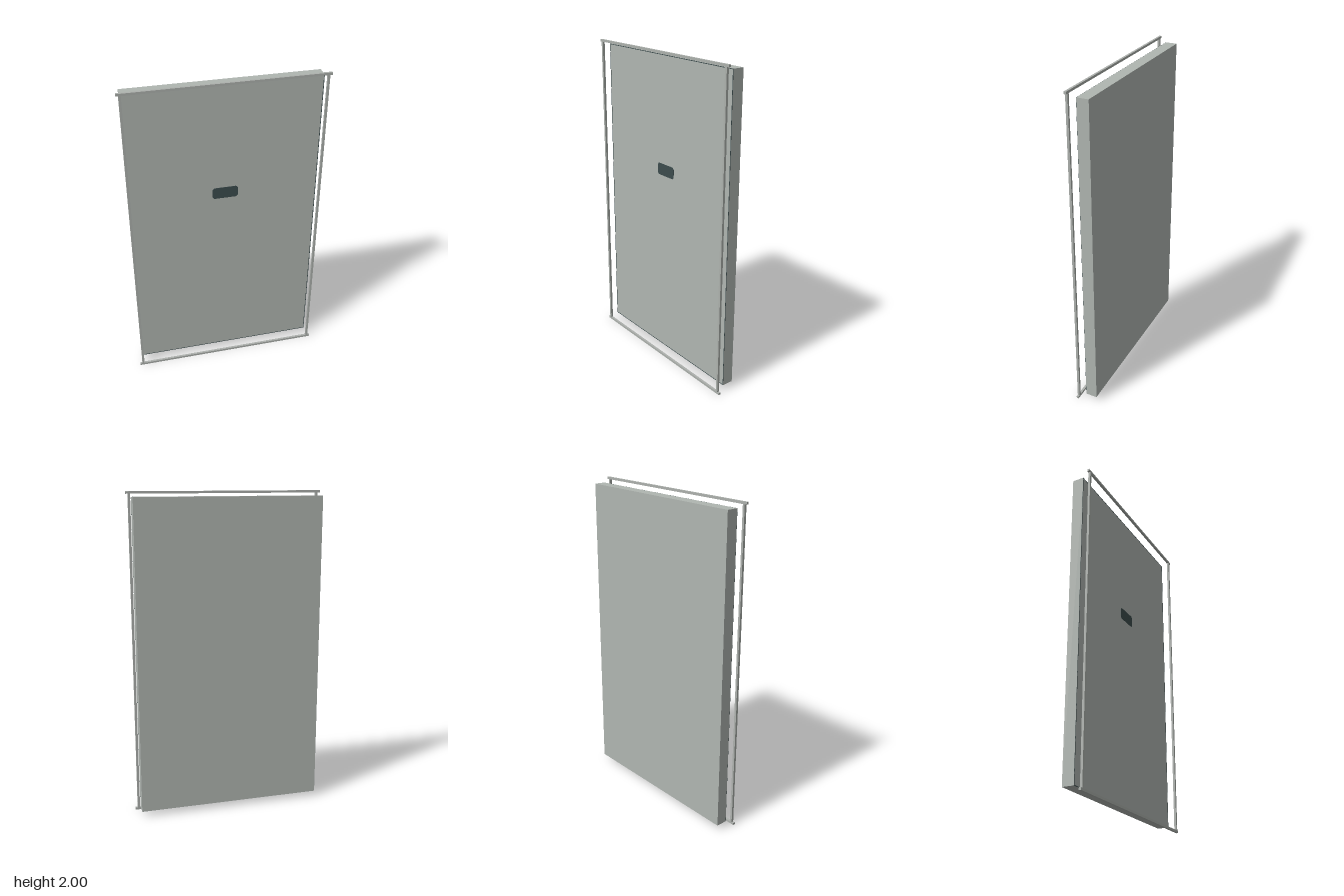
import * as THREE from 'three';

export function createModel() {
  const model = new THREE.Group();
  model.name = 'framedPanel';

  const material = (name, color) => {
    const m = new THREE.MeshStandardMaterial({ color });
    m.name = name;
    return m;
  };
  const panelGrey = material('panelGrey', 0xb0b6b1);
  const frameGrey = material('frameGrey', 0xadb1ad);
  const darkTeal = material('darkTeal', 0x3c4c4d);

  const add = (name, geometry, mat, x, y, z) => {
    const mesh = new THREE.Mesh(geometry, mat);
    mesh.name = name;
    mesh.position.set(x, y, z);
    model.add(mesh);
  };
  const box = (name, w, h, d, mat, x, y, z) =>
    add(name, new THREE.BoxGeometry(w, h, d), mat, x, y, z);

  // Solid slab
  const width = 1.16, height = 1.935, depth = 0.071, midY = 1.0025, frontZ = 0.007;
  box('panel', width, height, depth, panelGrey, 0, midY, frontZ - depth / 2);

  // Hairline dark border on the front face
  const line = 0.004, thin = 0.001;
  for (const s of [-1, 1]) {
    box('borderSide', line, height, thin, darkTeal, s * (width - line) / 2, midY, frontZ + thin / 2);
    box('borderEnd', width - 2 * line, line, thin, darkTeal, 0, midY + s * (height - line) / 2, frontZ + thin / 2);
  }

  // Dark plate with clipped corners
  const a = 0.079, b = 0.037, c = 0.012;
  const plate = new THREE.Shape([
    [-a + c, -b], [a - c, -b], [a, -b + c], [a, b - c],
    [a - c, b], [-a + c, b], [-a, b - c], [-a, -b + c],
  ].map(([x, y]) => new THREE.Vector2(x, y)));
  add('plate', new THREE.ExtrudeGeometry(plate, { depth: 0.002, bevelEnabled: false }),
    darkTeal, 0.002, 1.268, frontZ);

  // Slim frame standing in front of the slab
  const bar = 0.014, frameZ = 0.057;
  for (const s of [-1, 1]) {
    box('frameRail', 1.21, bar, bar, frameGrey, 0, 1 + s * (1 - bar / 2), frameZ);
    box('framePost', bar, 2 - 2 * bar, bar, frameGrey, s * 0.584, 1, frameZ);
  }
  return model;
}
